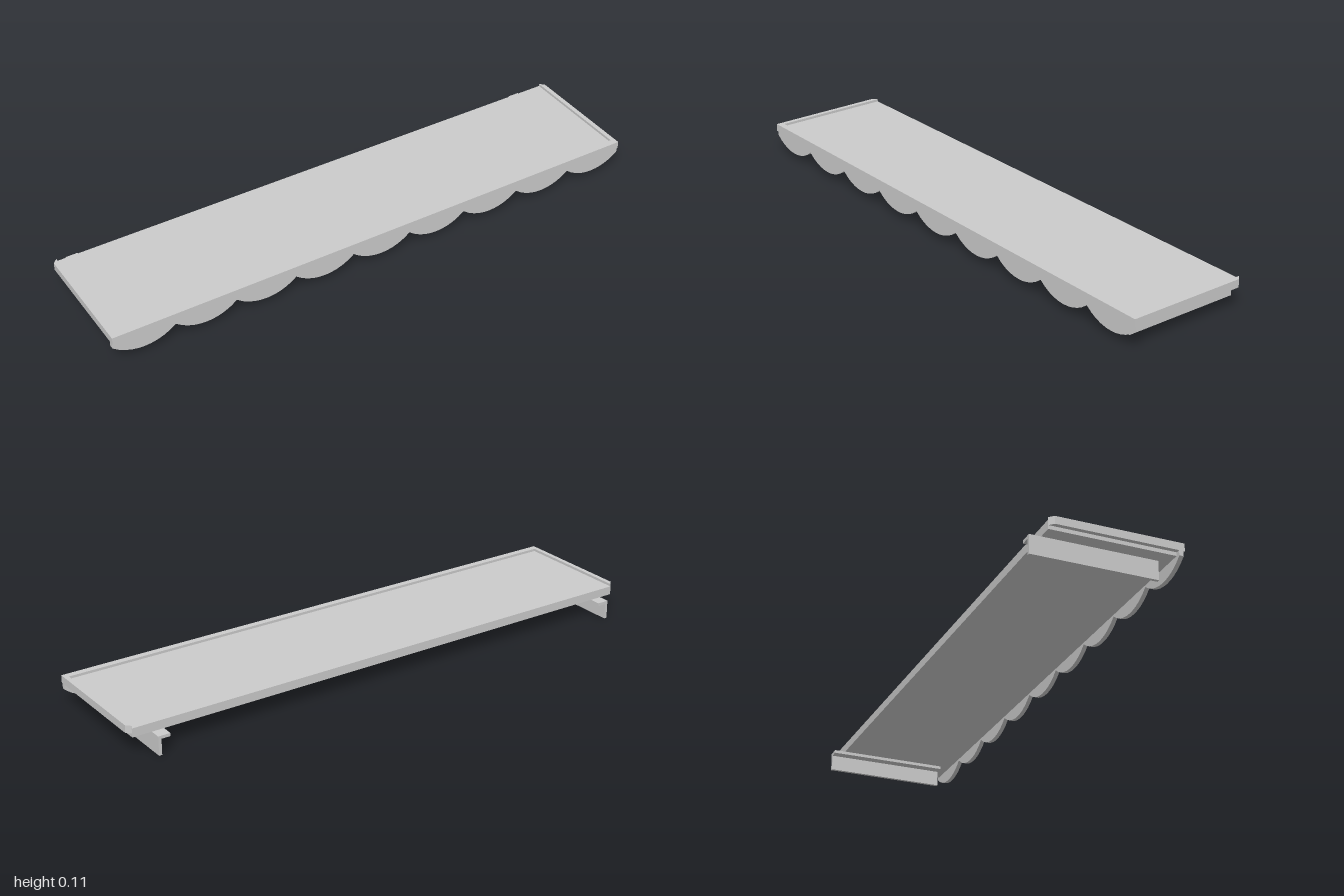
import * as THREE from 'three';

const material = new THREE.MeshStandardMaterial({ color: 0xcccccc, flatShading: true });

function addMesh(parent, name, geometry) {
  const mesh = new THREE.Mesh(geometry, material);
  mesh.name = name;
  parent.add(mesh);
  return mesh;
}

// Box given by its min and max corners
function addBox(parent, name, [x0, y0, z0], [x1, y1, z1]) {
  const mesh = addMesh(parent, name, new THREE.BoxGeometry(x1 - x0, y1 - y0, z1 - z0));
  mesh.position.set((x0 + x1) / 2, (y0 + y1) / 2, (z0 + z1) / 2);
}

export function createModel() {
  const shelf = new THREE.Group();
  shelf.name = 'scallopedShelf';

  // Flat board, exposed along the back
  addBox(shelf, 'board', [-0.985, 0.067, -0.205], [0.985, 0.098, 0.224]);

  // Raised U-shaped rim around front and sides, with chamfered back ends (plan points are x, z)
  const half = [[1, 0.245], [1, -0.189], [0.984, -0.205], [0.984, 0.222]];
  const plan = [...half, ...half.map(([x, z]) => [-x, z]).reverse()];
  const rimShape = new THREE.Shape(plan.map(([x, z]) => new THREE.Vector2(x, -z)));
  const rim = new THREE.ExtrudeGeometry(rimShape, { depth: 0.027, bevelEnabled: false });
  rim.rotateX(-Math.PI / 2);
  addMesh(shelf, 'rim', rim).position.y = 0.08;

  // Scalloped valance hanging behind the front rim
  const count = 9, steps = 10, cuspY = 0.062, drop = 0.041;
  const width = 2 / count;
  const radius = (width * width / 4 + drop * drop) / (2 * drop);
  const outline = [new THREE.Vector2(1, 0.08), new THREE.Vector2(-1, 0.08)];
  for (let i = 0; i <= count * steps; i++) {
    const u = ((i % steps) / steps - 0.5) * width;
    const sag = Math.sqrt(radius * radius - u * u) - (radius - drop);
    outline.push(new THREE.Vector2(-1 + i * width / steps, cuspY - sag));
  }
  const valance = new THREE.ExtrudeGeometry(new THREE.Shape(outline), { depth: 0.015, bevelEnabled: false });
  addMesh(shelf, 'scallopedValance', valance).position.z = 0.225;

  // Angle brackets under both ends, flanges pointing inward
  for (const [name, outer, inward] of [['leftBracket', 0.917, -1], ['rightBracket', -0.936, 1]]) {
    const bracket = new THREE.Group();
    bracket.name = name;
    const span = (w) => [Math.min(outer, outer + inward * w), Math.max(outer, outer + inward * w)];
    const [w0, w1] = span(0.011);
    const [f0, f1] = span(0.043);
    addBox(bracket, 'bracketWeb', [w0, 0, -0.245], [w1, 0.056, 0.187]);
    addBox(bracket, 'bracketFlange', [f0, 0.056, -0.245], [f1, 0.067, 0.187]);
    shelf.add(bracket);
  }

  return shelf;
}
